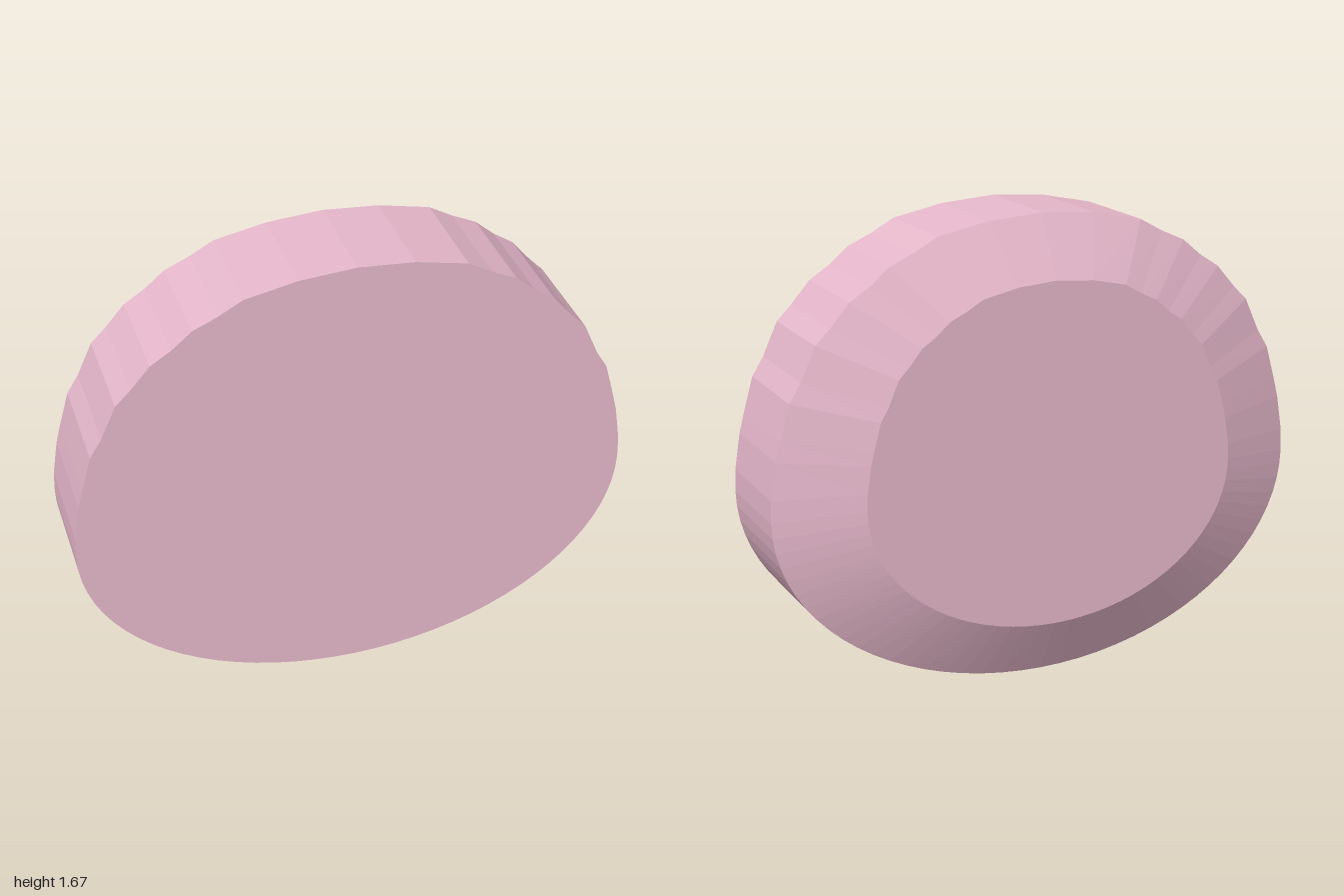
import * as THREE from 'three';

// Right half of the scalloped upper rim, from the widest point to the top
const RIM = [
  [1, 0.7], [0.997, 0.78], [0.976, 0.91], [0.958, 0.98], [0.922, 1.107], [0.88, 1.175],
  [0.826, 1.294], [0.772, 1.348], [0.703, 1.428], [0.63, 1.475], [0.559, 1.535],
  [0.47, 1.575], [0.385, 1.622], [0.2, 1.66], [0, 1.675],
];

// Closed outline, counter-clockwise: scalloped top, half-ellipse bottom
function outline() {
  const left = RIM.slice(0, -1).reverse().map(([x, y]) => [-x, y]);
  const points = [...RIM, ...left];
  const steps = 40;
  for (let i = 1; i < steps; i++) {
    const a = Math.PI * (1 + i / steps);
    points.push([Math.cos(a), 0.7 + 0.7 * Math.sin(a)]);
  }
  return points;
}

// Cross-sections from back to front: depth and scale about the middle
const MIDDLE = 0.8375;
const SECTIONS = [
  { z: -0.255, sx: 0, sy: 0 }, // centre of the back face
  { z: -0.255, sx: 0.7, sy: 0.743 }, // inner edge of the bevel
  { z: -0.14, sx: 1, sy: 1 }, // outer edge of the bevel
  { z: 0.255, sx: 1, sy: 1 }, // front rim
  { z: 0.255, sx: 0, sy: 0 }, // centre of the front face
];

function bodyGeometry() {
  const points = outline();
  const n = points.length;
  const rings = SECTIONS.map(({ z, sx, sy }) =>
    points.map(([x, y]) => [x * sx, MIDDLE + (y - MIDDLE) * sy, z]));
  const positions = [];
  for (let r = 0; r < rings.length - 1; r++) {
    const a = rings[r], b = rings[r + 1];
    for (let i = 0; i < n; i++) {
      const j = (i + 1) % n;
      if (SECTIONS[r].sx > 0) positions.push(...a[i], ...a[j], ...b[j]);
      if (SECTIONS[r + 1].sx > 0) positions.push(...a[i], ...b[j], ...b[i]);
    }
  }
  const geometry = new THREE.BufferGeometry();
  geometry.setAttribute('position', new THREE.Float32BufferAttribute(positions, 3));
  geometry.computeVertexNormals();
  return geometry;
}

export function createModel() {
  const group = new THREE.Group();
  group.name = 'scallopedDisc';
  const material = new THREE.MeshStandardMaterial({ color: 0xe6b8cb, flatShading: true });
  const body = new THREE.Mesh(bodyGeometry(), material);
  body.name = 'bevelledBody';
  group.add(body);
  return group;
}
